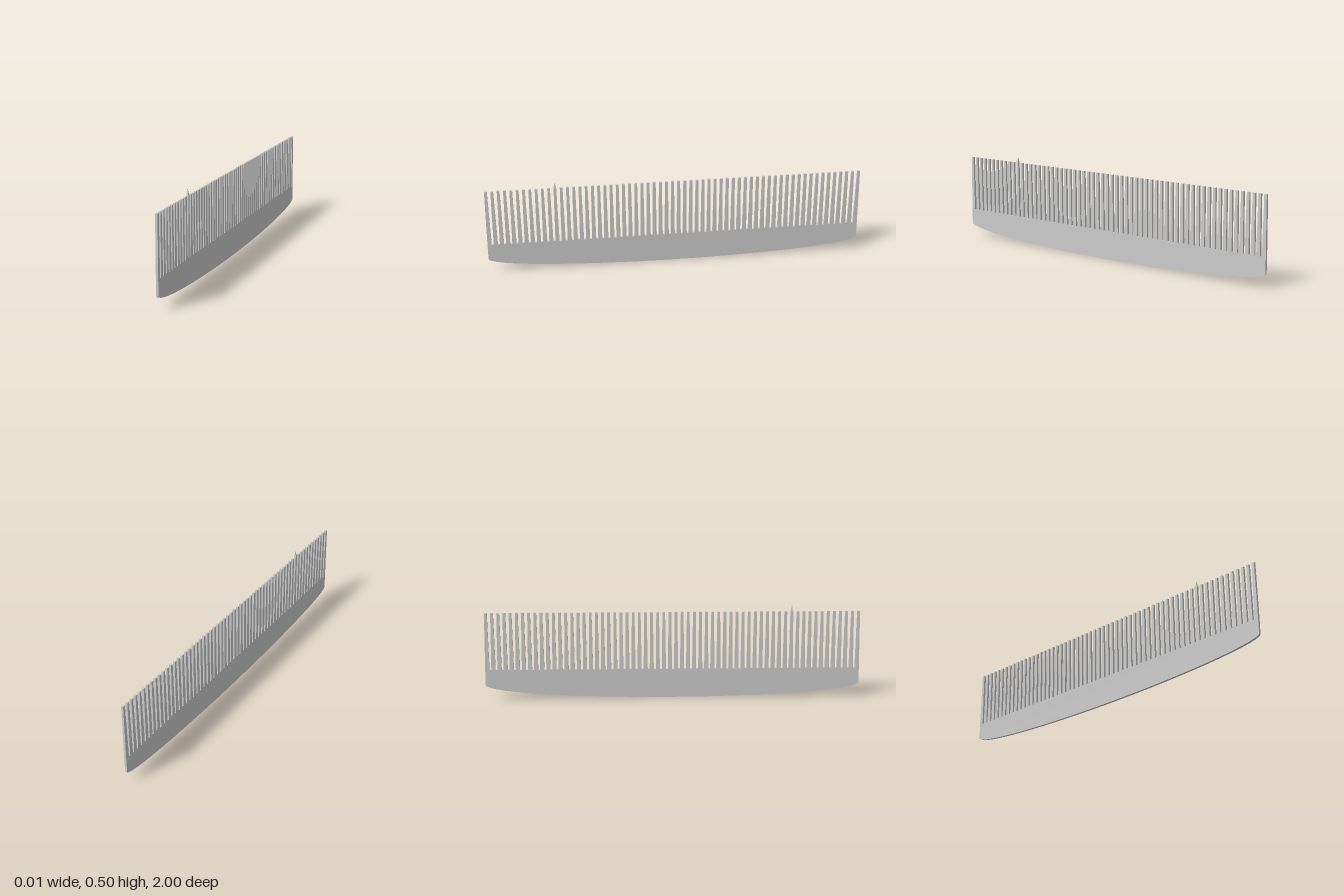
import * as THREE from 'three';

const THICKNESS = 0.012, TEETH = 62, BASE_Y = 0.155, TOP_Y = 0.463;

// Extrudes a side outline (length, height) across the comb's thickness
function plate(shape, curveSegments = 12) {
  const g = new THREE.ExtrudeGeometry(shape, { depth: THICKNESS, bevelEnabled: false, curveSegments });
  g.translate(0, 0, -THICKNESS / 2);
  g.rotateY(-Math.PI / 2); // outline length runs along z
  return g;
}

export function createModel() {
  const comb = new THREE.Group();
  comb.name = 'comb';
  const material = new THREE.MeshStandardMaterial({ color: 0xcccccc, flatShading: true });
  const add = (geometry, name, z = 0, parent = comb) => {
    const mesh = new THREE.Mesh(geometry, material);
    mesh.name = name;
    mesh.position.z = z;
    parent.add(mesh);
    return mesh;
  };

  // Spine with a shallow elliptical lower edge
  const spine = new THREE.Shape();
  spine.moveTo(1, BASE_Y);
  spine.lineTo(-1, BASE_Y);
  spine.lineTo(-1, 0.07);
  spine.bezierCurveTo(-0.97, 0.03, -0.5, 0, 0, 0);
  spine.bezierCurveTo(0.5, 0, 0.97, 0.03, 1, 0.07);
  add(plate(spine, 16), 'spine');

  // Row of tapered teeth
  const tooth = new THREE.Shape([
    [-0.011, BASE_Y], [0.011, BASE_Y], [0.007, TOP_Y], [-0.007, TOP_Y],
  ].map(([x, y]) => new THREE.Vector2(x, y)));
  const toothGeometry = plate(tooth);
  const teeth = new THREE.Group();
  teeth.name = 'teeth';
  comb.add(teeth);
  const reach = 0.989, pitch = (2 * reach) / (TEETH - 1);
  for (let i = 0; i < TEETH; i++) add(toothGeometry, 'tooth', reach - i * pitch, teeth);

  // Small pyramid point on the twelfth tooth
  const point = new THREE.ConeGeometry(Math.SQRT1_2, 1, 4);
  point.rotateY(Math.PI / 4);
  point.scale(THICKNESS, 0.033, 0.014);
  point.translate(0, TOP_Y + 0.0165, 0);
  add(point, 'toothPoint', reach - 11 * pitch);

  return comb;
}
